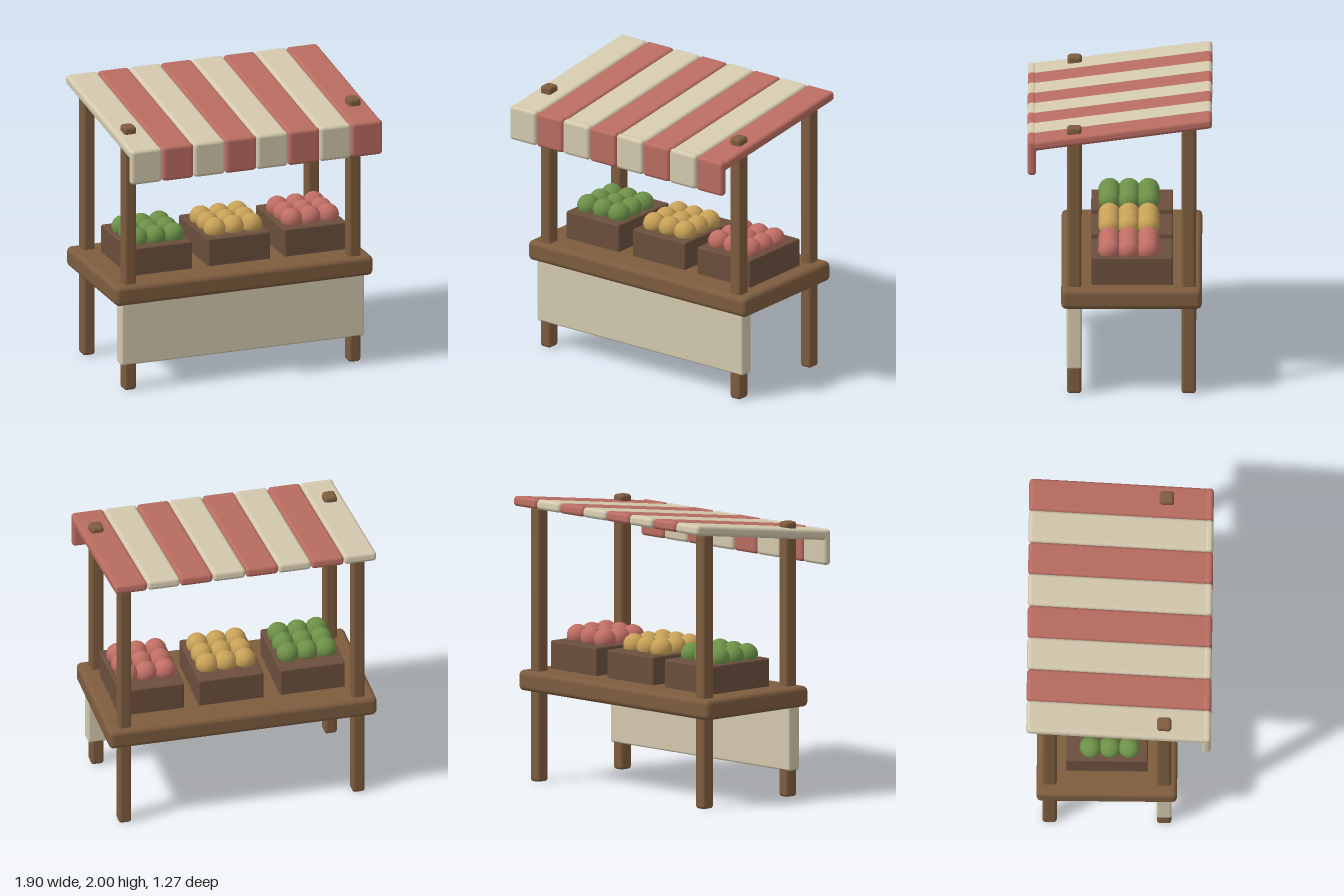
import * as THREE from 'three';
import { RoundedBoxGeometry } from 'three/addons/geometries/RoundedBoxGeometry.js';

const mat = (color) => new THREE.MeshStandardMaterial({ color });

export function createModel() {
  const stall = new THREE.Group();
  stall.name = 'marketStall';

  const wood = mat(0x7d5c3e);
  const crateWood = mat(0x6b4f3d);
  const cream = mat(0xd4c9ae);
  const red = mat(0xb96c60);

  // Rounded box given by its size and centre
  function box(name, material, [w, h, d], [x, y, z], radius, parent = stall) {
    const mesh = new THREE.Mesh(new RoundedBoxGeometry(w, h, d, 3, radius), material);
    mesh.name = name;
    mesh.position.set(x, y, z);
    parent.add(mesh);
    return mesh;
  }

  // Four posts; the front pair pokes through the awning
  for (const [side, x] of [['right', -0.83], ['left', 0.83]]) {
    box(side + 'FrontPost', wood, [0.09, 1.92, 0.1], [x, 0.965, 0.315], 0.022);
    box(side + 'BackPost', wood, [0.09, 1.92, 0.1], [x, 0.965, -0.475], 0.022);
  }

  // Counter and the cloth hanging below its front edge
  box('counter', wood, [1.905, 0.143, 0.97], [0, 0.7065, -0.08], 0.035);
  box('frontCloth', cream, [1.796, 0.46, 0.104], [0, 0.42, 0.315], 0.015);

  // Striped awning: sloping slats with a hanging flap on each
  const awning = new THREE.Group();
  awning.name = 'awning';
  stall.add(awning);
  const pitch = 0.2328;
  for (let i = 0; i < 8; i++) {
    const x = (i - 3.5) * pitch;
    const material = i % 2 ? red : cream;
    const slat = box('awningSlat', material, [0.23, 0.07, 1.25], [x, 1.888, -0.015], 0.025, awning);
    slat.rotation.x = 0.133;
    box('awningFlap', material, [0.23, 0.25, 0.06], [x, 1.721, 0.608], 0.025, awning);
  }

  // Three crates, each with a 3 x 3 layer of fruit
  const fruitGeometry = new THREE.SphereGeometry(0.077, 20, 14);
  const crates = [
    ['green', -0.54, 0x6d9148],
    ['yellow', 0.037, 0xc8a157],
    ['red', 0.604, 0xc06e64],
  ];
  for (const [name, x, color] of crates) {
    const group = new THREE.Group();
    group.name = name + 'FruitCrate';
    group.position.set(x, 0, 0);
    stall.add(group);
    box('crate', crateWood, [0.462, 0.21, 0.565], [0, 0.87, -0.082], 0.012, group);
    const skin = mat(color);
    for (let i = -1; i <= 1; i++) {
      for (let j = -1; j <= 1; j++) {
        const fruit = new THREE.Mesh(fruitGeometry, skin);
        fruit.name = 'fruit';
        fruit.position.set(i * 0.135, 1.004, -0.06 + j * 0.134);
        group.add(fruit);
      }
    }
  }

  return stall;
}
